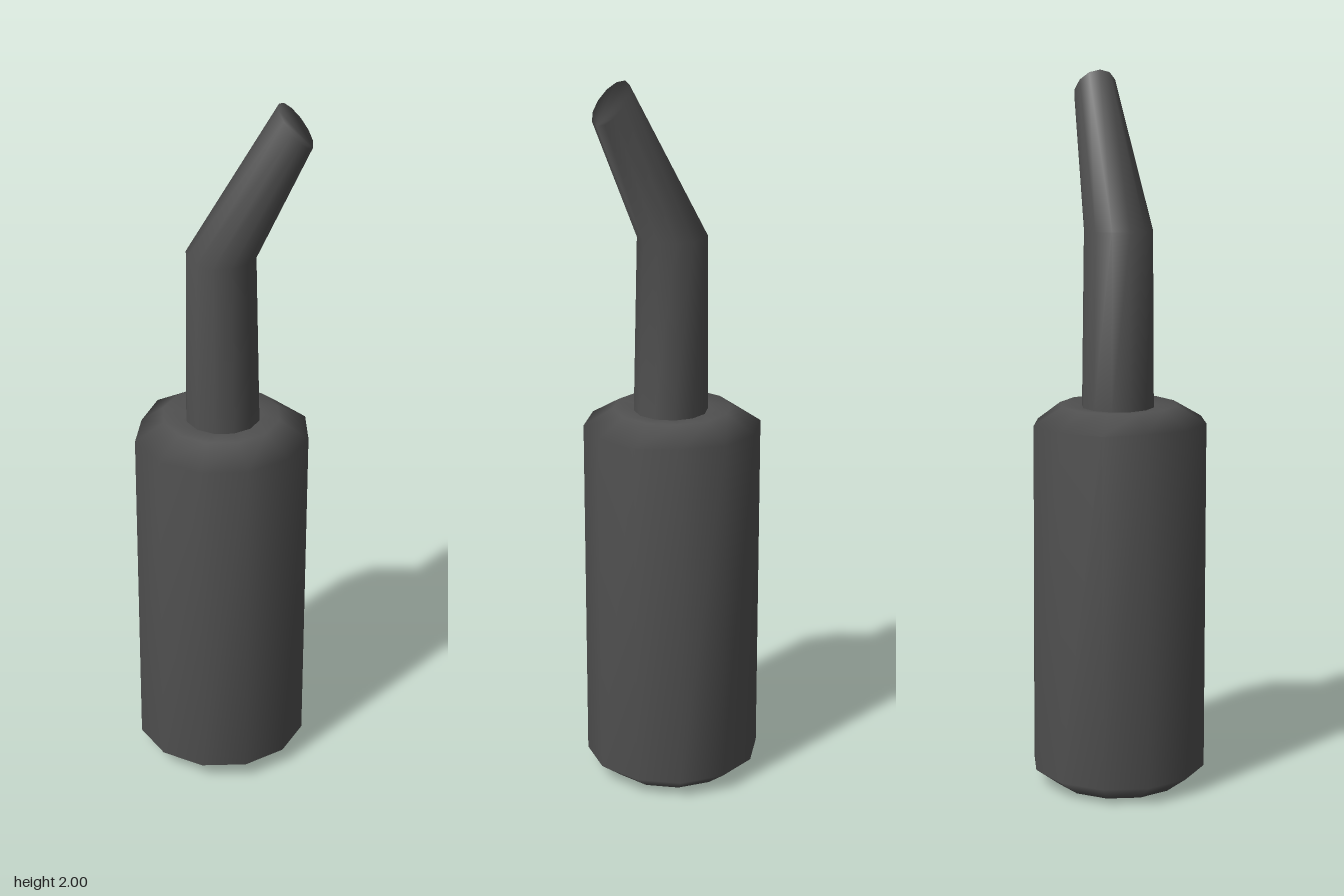
import * as THREE from 'three';

const SIDES = 12;

// Smooth skin through a list of 12-sided rings, each { x, y, rx, rz, tilt }
// tilt lowers the ring towards +x; caps close the chosen ends.
function skin(rings, material, name, capBottom, capTop) {
  const pos = [], index = [];
  for (const { x = 0, y, rx, rz = rx, tilt = 0 } of rings) {
    for (let i = 0; i < SIDES; i++) {
      const a = (i / SIDES) * Math.PI * 2;
      const c = Math.cos(a);
      pos.push(x + rx * c, y - tilt * c, rz * Math.sin(a));
    }
  }
  for (let r = 0; r < rings.length - 1; r++) {
    for (let i = 0; i < SIDES; i++) {
      const j = (i + 1) % SIDES;
      const a = r * SIDES + i, b = r * SIDES + j;
      index.push(a, a + SIDES, b, b, a + SIDES, b + SIDES);
    }
  }
  const top = (rings.length - 1) * SIDES;
  for (let i = 1; i < SIDES - 1; i++) {
    if (capBottom) index.push(0, i, i + 1);
    if (capTop) index.push(top, top + i + 1, top + i);
  }
  const geometry = new THREE.BufferGeometry();
  geometry.setAttribute('position', new THREE.Float32BufferAttribute(pos, 3));
  geometry.setIndex(index);
  const mesh = new THREE.Mesh(geometry, material);
  mesh.name = name;
  return mesh;
}

export function createModel() {
  const group = new THREE.Group();
  group.name = 'bottleWithBentSpout';
  const charcoal = new THREE.MeshStandardMaterial({ color: 0x505050 });
  charcoal.name = 'charcoal';

  // Bottle body with chamfered foot and shoulder, closed under the neck
  const body = skin([
    { y: 0, rx: 0.18 },
    { y: 0.05, rx: 0.247 },
    { y: 1.04, rx: 0.247 },
    { y: 1.088, rx: 0.165 },
    { y: 1.08, rx: 0.1 },
  ], charcoal, 'body', true, true);

  // Slightly worn shoulder corners on the right and the back left
  const p = body.geometry.attributes.position;
  const shoulder = 2 * SIDES;
  p.setX(shoulder + 6, -0.228);
  p.setX(shoulder + 10, 0.11);
  p.setZ(shoulder + 10, -0.2);
  body.geometry.computeVertexNormals();

  // Neck that bends towards +x and tapers to a slanted tip
  const spout = skin([
    { x: 0.005, y: 1.07, rx: 0.104, rz: 0.101 },
    { y: 1.57, rx: 0.096 },
    { x: 0.195, y: 1.945, rx: 0.045, rz: 0.06, tilt: 0.055 },
  ], charcoal, 'bentSpout', false, true);
  spout.geometry.computeVertexNormals();

  group.add(body, spout);
  return group;
}
